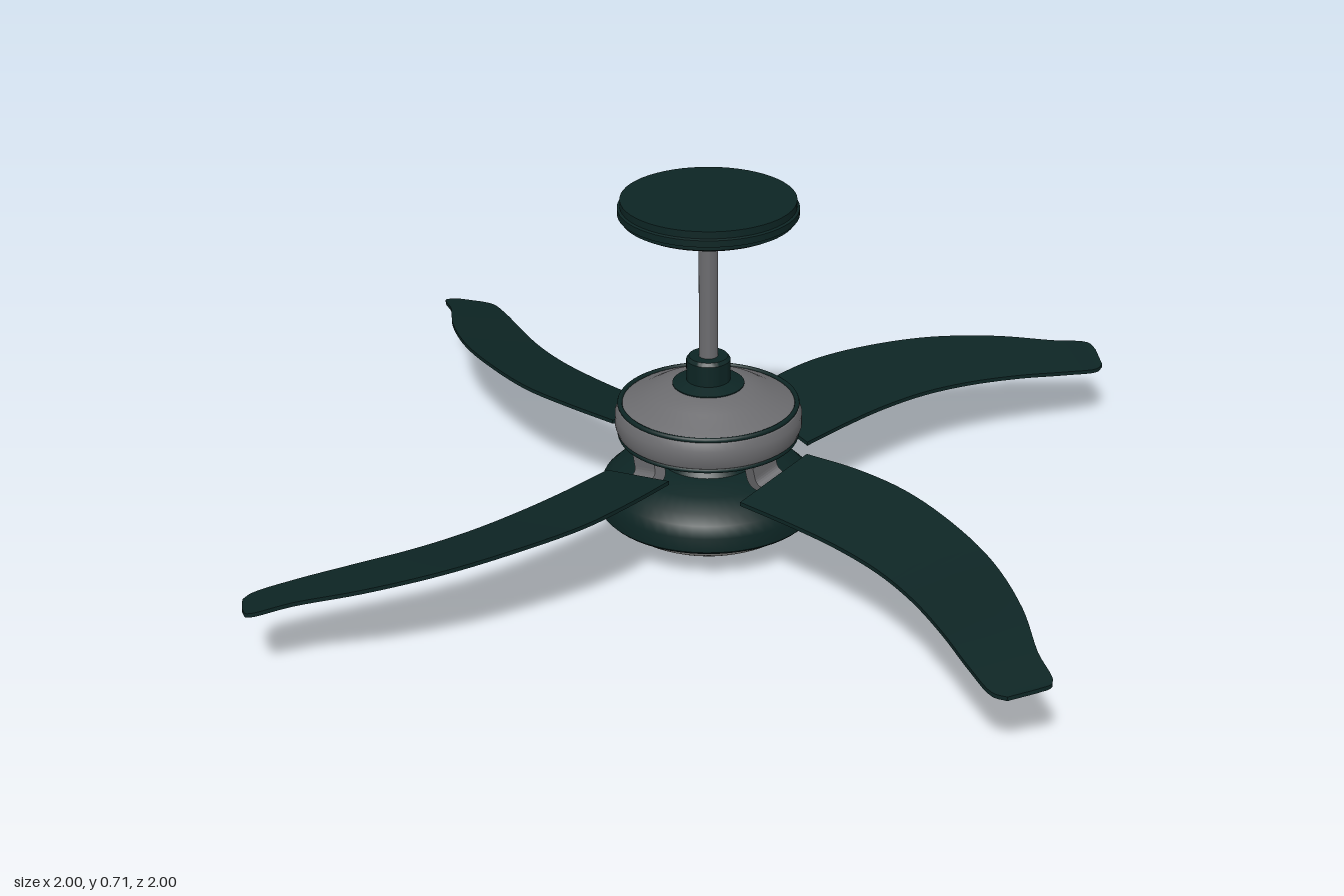
import * as THREE from 'three';
import { toCreasedNormals } from 'three/addons/utils/BufferGeometryUtils.js';

const material = (name, color) => Object.assign(new THREE.MeshStandardMaterial({ color }), { name });
const green = material('dark green', 0x0d2524);
const metal = material('grey metal', 0x6c6c6f);
const glass = material('frosted glass', 0xa8a8a6);

function add(parent, name, geometry, mat) {
  const mesh = new THREE.Mesh(geometry, mat);
  mesh.name = name;
  parent.add(mesh);
  return mesh;
}

// Turned part from [radius, height] pairs, listed bottom to top
function turned(parent, name, profile, mat) {
  const points = profile.map(([r, y]) => new THREE.Vector2(r, y));
  return add(parent, name, toCreasedNormals(new THREE.LatheGeometry(points, 56), 0.5), mat);
}

// Swept, pitched blade lofted between a high leading and a low trailing edge
function bladeGeometry() {
  const curve = (pts) => new THREE.CatmullRomCurve3(pts.map((p) => new THREE.Vector3(...p)));
  const leading = curve([
    [0.185, 0.207, -0.088], [0.3, 0.21, -0.108], [0.42, 0.208, -0.114], [0.56, 0.202, -0.092],
    [0.7, 0.191, -0.05], [0.83, 0.175, 0.017], [0.93, 0.158, 0.09], [1.0, 0.145, 0.132], [0.992, 0.141, 0.16],
  ]);
  const trailing = curve([
    [0.185, 0.165, 0.09], [0.3, 0.164, 0.08], [0.42, 0.163, 0.076], [0.54, 0.16, 0.084],
    [0.65, 0.155, 0.108], [0.76, 0.148, 0.147], [0.86, 0.138, 0.188], [0.935, 0.13, 0.212], [0.962, 0.13, 0.204],
  ]);
  const steps = 40, thick = 0.008, positions = [], index = [];
  for (let i = 0; i <= steps; i++) {
    const a = leading.getPoint(i / steps), b = trailing.getPoint(i / steps);
    positions.push(a.x, a.y, a.z, b.x, b.y, b.z, b.x, b.y - thick, b.z, a.x, a.y - thick, a.z);
    if (i === steps) break;
    for (let k = 0; k < 4; k++) {
      const p = i * 4 + k, q = i * 4 + ((k + 1) % 4);
      index.push(p, q, q + 4, p, q + 4, p + 4);
    }
  }
  const e = steps * 4;
  index.push(0, 2, 1, 0, 3, 2, e, e + 1, e + 2, e, e + 2, e + 3);
  const geometry = new THREE.BufferGeometry();
  geometry.setAttribute('position', new THREE.Float32BufferAttribute(positions, 3));
  geometry.setIndex(index);
  return toCreasedNormals(geometry, 0.6);
}

// Bent arm that drops from the motor and runs out under the blade
function bracketGeometry() {
  const s = new THREE.Shape();
  s.moveTo(0.14, 0.05);
  s.lineTo(0.14, 0.005);
  s.quadraticCurveTo(0.14, -0.018, 0.165, -0.018);
  s.lineTo(0.29, -0.018);
  s.lineTo(0.29, -0.004);
  s.lineTo(0.185, -0.004);
  s.quadraticCurveTo(0.165, -0.004, 0.165, 0.012);
  s.lineTo(0.165, 0.05);
  s.closePath();
  const geometry = new THREE.ExtrudeGeometry(s, { depth: 0.06, bevelEnabled: false, curveSegments: 6 });
  return geometry.translate(0, 0, -0.03);
}

export function createModel() {
  const fan = new THREE.Group();
  fan.name = 'ceilingFan';

  // Ceiling mount and rod
  turned(fan, 'canopy', [
    [0, 0.645], [0.04, 0.648], [0.06, 0.655], [0.155, 0.664], [0.166, 0.67], [0.166, 0.677], [0.173, 0.679],
    [0.173, 0.692], [0.168, 0.694], [0.168, 0.708], [0, 0.708],
  ], green);
  turned(fan, 'hangerBall', [
    [0, 0.615], [0.025, 0.617], [0.034, 0.626], [0.04, 0.638], [0.04, 0.652], [0, 0.652],
  ], green);
  turned(fan, 'downRod', [[0.0185, 0.34], [0.0185, 0.63]], metal);
  turned(fan, 'rodCoupling', [
    [0, 0.318], [0.07, 0.318], [0.07, 0.326], [0.043, 0.334], [0.043, 0.376], [0.038, 0.383], [0, 0.383],
  ], green);

  // Motor housing with dark trim rings
  turned(fan, 'motorHousing', [
    [0, 0.204], [0.12, 0.206], [0.165, 0.216], [0.178, 0.226], [0.183, 0.24], [0.183, 0.264], [0.177, 0.278],
    [0.165, 0.286], [0.145, 0.292], [0.115, 0.31], [0.075, 0.324], [0, 0.324],
  ], metal);
  for (const [y, r] of [[0.284, 0.173], [0.22, 0.173]]) {
    const ring = add(fan, 'motorTrimRing', new THREE.TorusGeometry(r, 0.005, 8, 56), green);
    ring.rotation.x = Math.PI / 2;
    ring.position.y = y;
  }

  // Neck, light housing and glass bowl
  turned(fan, 'neck', [
    [0.105, 0.15], [0.088, 0.172], [0.09, 0.188], [0.11, 0.208], [0, 0.208],
  ], green);
  turned(fan, 'lightHousing', [
    [0, 0.06], [0.21, 0.06], [0.216, 0.066], [0.216, 0.095], [0.208, 0.118], [0.19, 0.135],
    [0.15, 0.15], [0.105, 0.163], [0, 0.163],
  ], green);
  const bowl = [];
  for (let i = 0; i <= 14; i++) {
    const a = (i / 14) * Math.PI / 2;
    bowl.push([0.192 * Math.sin(a), 0.062 - 0.062 * Math.cos(a)]);
  }
  turned(fan, 'glassBowl', bowl, glass);

  // Four blades with their brackets
  const blade = bladeGeometry(), bracket = bracketGeometry();
  for (let i = 0; i < 4; i++) {
    const arm = new THREE.Group();
    arm.name = 'bladeArm';
    add(arm, 'blade', blade, green);
    const mount = add(arm, 'bladeBracket', bracket, metal);
    mount.position.y = 0.183;
    mount.rotation.x = 0.235;
    arm.rotation.y = i * Math.PI / 2;
    fan.add(arm);
  }
  return fan;
}
